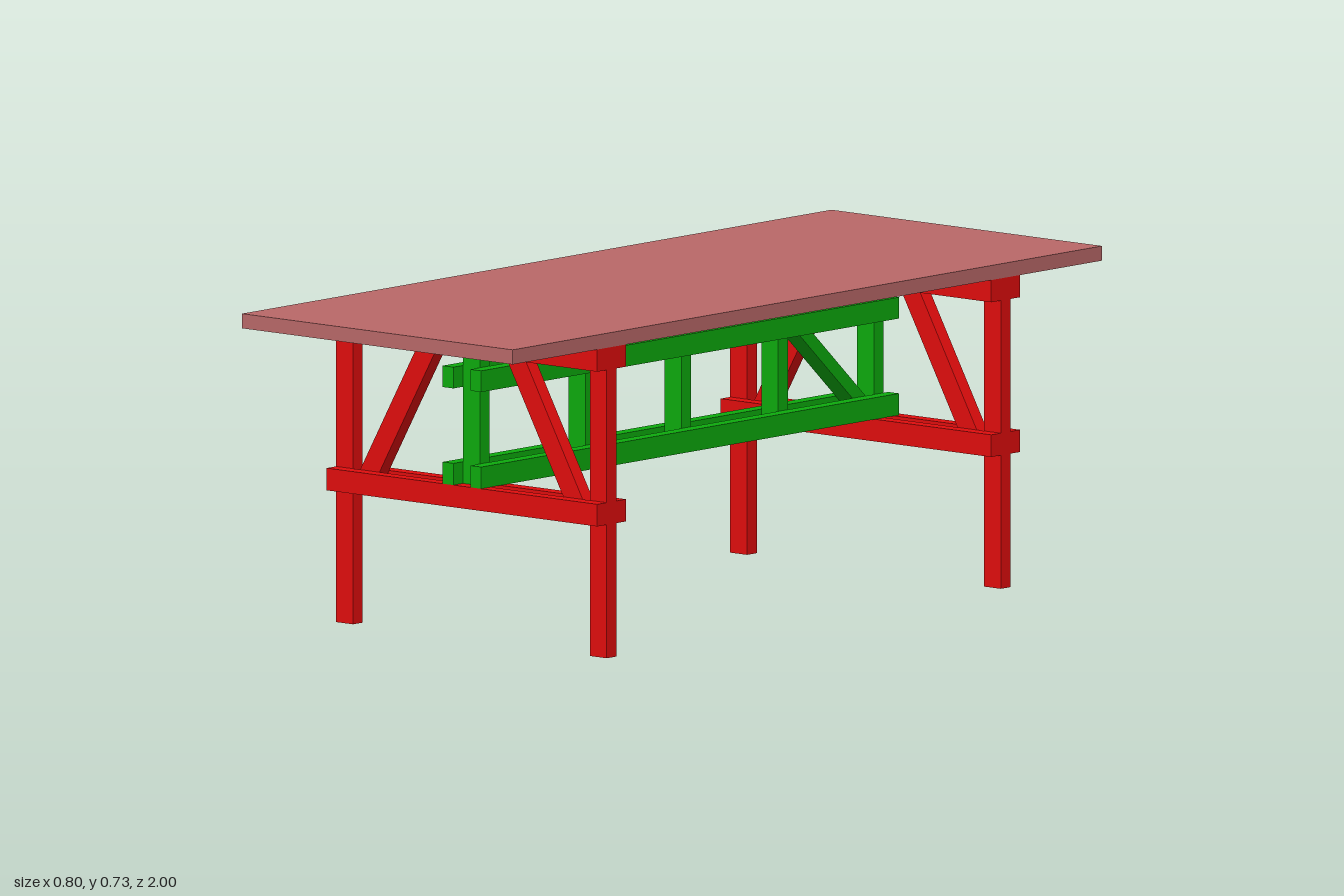
import * as THREE from 'three';

export function createModel() {
  const table = new THREE.Group();
  table.name = 'trestleTable';
  const topPaint = new THREE.MeshStandardMaterial({ color: 0xb96868 });
  const red = new THREE.MeshStandardMaterial({ color: 0xe00d0d });
  const green = new THREE.MeshStandardMaterial({ color: 0x0daa0d });

  // Board given by its lower and upper corner
  function board(parent, name, material, [x0, y0, z0], [x1, y1, z1]) {
    const mesh = new THREE.Mesh(new THREE.BoxGeometry(x1 - x0, y1 - y0, z1 - z0), material);
    mesh.position.set((x0 + x1) / 2, (y0 + y1) / 2, (z0 + z1) / 2);
    mesh.name = name;
    parent.add(mesh);
    return mesh;
  }

  // Slanted strut with level ends: bottom and top centres, width measured level
  function strut(parent, name, material, a0, y0, a1, y1, width, depth) {
    const h = width / 2;
    const shape = new THREE.Shape([
      new THREE.Vector2(a0 - h, y0), new THREE.Vector2(a0 + h, y0),
      new THREE.Vector2(a1 + h, y1), new THREE.Vector2(a1 - h, y1),
    ]);
    const geometry = new THREE.ExtrudeGeometry(shape, { depth, bevelEnabled: false });
    geometry.translate(0, 0, -depth / 2);
    const mesh = new THREE.Mesh(geometry, material);
    mesh.name = name;
    parent.add(mesh);
    return mesh;
  }

  board(table, 'tabletop', topPaint, [-0.4, 0.7, -1], [0.4, 0.733, 1]);

  // Two end frames: legs and braces clasped between paired rails
  const t = 0.0165, outer = 0.049;
  for (const [name, z] of [['frontFrame', 0.664], ['backFrame', -0.673]]) {
    const frame = new THREE.Group();
    frame.name = name;
    frame.position.z = z;
    table.add(frame);
    for (const [rail, y] of [['lowerRail', 0.301], ['upperRail', 0.65]]) {
      board(frame, rail, red, [-0.4, y, t], [0.4, y + 0.05, outer]);
      board(frame, rail, red, [-0.4, y, -outer], [0.4, y + 0.05, -t]);
    }
    for (const side of [-1, 1]) {
      const x = side * 0.375;
      board(frame, 'leg', red, [x - 0.025, 0, -t], [x + 0.025, 0.7, t]);
      strut(frame, 'brace', red, side * 0.329, 0.301, side * 0.101, 0.7, 0.057, 2 * t);
    }
    board(frame, 'centrePost', green, [-0.025, 0.301, -t], [0.025, 0.7, t]);
  }

  // Long stretcher truss joining the frames
  const truss = new THREE.Group();
  truss.name = 'stretcher';
  table.add(truss);
  for (const [name, y0, y1] of [['lowerBeam', 0.351, 0.4], ['upperBeam', 0.569, 0.617]]) {
    board(truss, name, green, [-0.057, y0, -0.705], [-0.025, y1, 0.713]);
    board(truss, name, green, [0.025, y0, -0.705], [0.057, y1, 0.713]);
  }
  for (const z of [0.306, -0.02, -0.348]) {
    board(truss, 'spacer', green, [-0.025, 0.351, z - t], [0.025, 0.617, z + t]);
  }
  // Diagonal at the back bay; its local x runs towards -z
  const diagonal = strut(truss, 'diagonal', green, 0.66, 0.351, 0.367, 0.617, 0.045, 0.05);
  diagonal.rotation.y = Math.PI / 2;

  return table;
}
